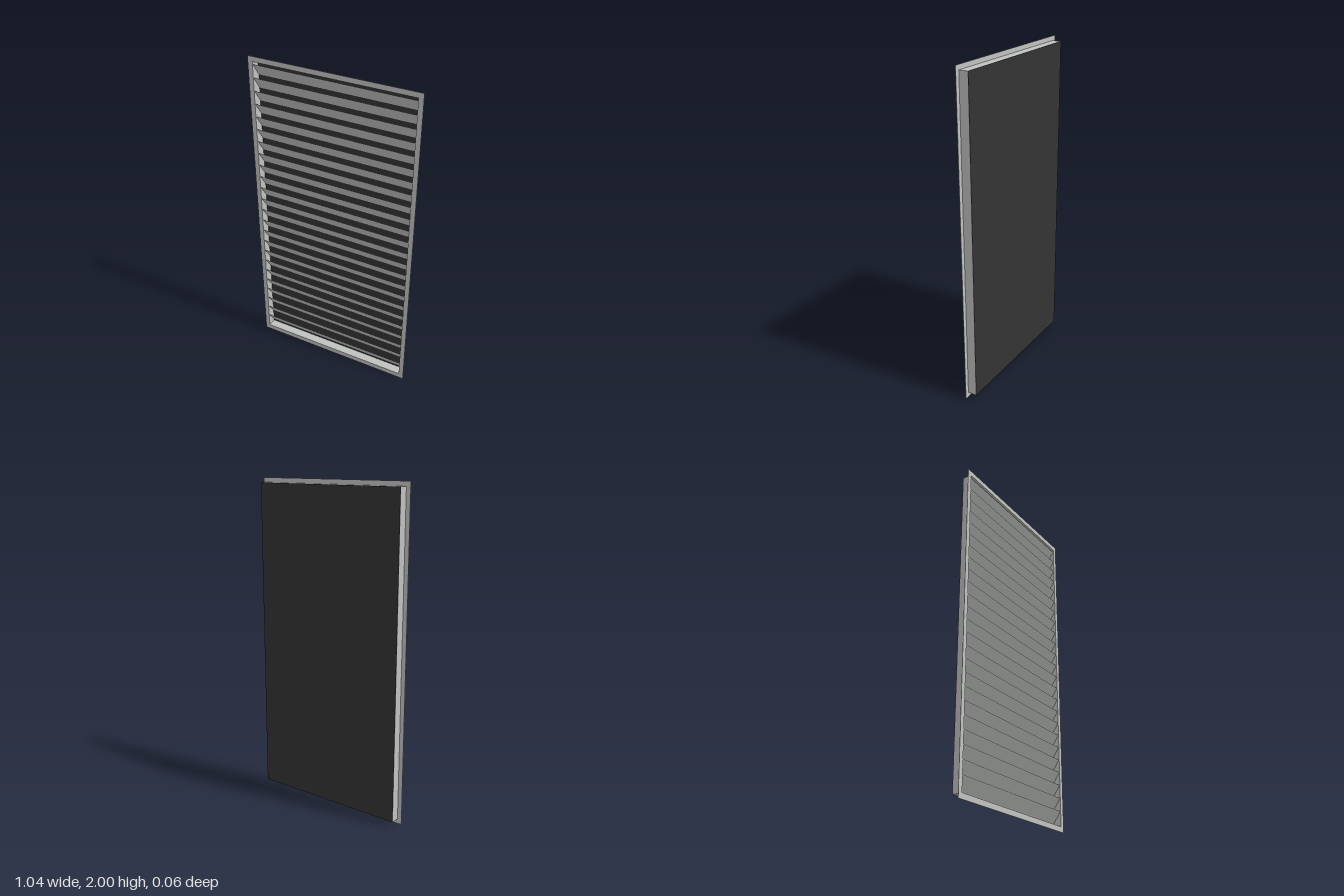
import * as THREE from 'three';

const W = 0.522, H = 2;                          // flange half-width and height
const BODY_W = 0.495, BODY_Y0 = 0.03, BODY_Y1 = 1.972;
const FRONT = 0.029, BACK = -0.029;
const SLATS = 24, PITCH = 0.0795;

function rect(target, hw, y0, y1) {
  target.moveTo(-hw, y0);
  target.lineTo(hw, y0);
  target.lineTo(hw, y1);
  target.lineTo(-hw, y1);
  target.closePath();
  return target;
}

// Rectangular ring extruded from z0 to z1
function ring(outer, inner, z0, z1) {
  const shape = rect(new THREE.Shape(), ...outer);
  shape.holes.push(rect(new THREE.Path(), ...inner));
  const geo = new THREE.ExtrudeGeometry(shape, { depth: z1 - z0, bevelEnabled: false });
  return geo.translate(0, 0, z0);
}

export function createModel() {
  const model = new THREE.Group();
  model.name = 'louverVent';

  const metal = new THREE.MeshStandardMaterial({ color: 0xc0c2c0 });
  metal.name = 'light grey metal';
  const dark = new THREE.MeshStandardMaterial({ color: 0x333333 });
  dark.name = 'dark backing';

  const add = (name, geo, mat, parent = model) => {
    const mesh = new THREE.Mesh(geo, mat);
    mesh.name = name;
    parent.add(mesh);
    return mesh;
  };

  const opening = [BODY_W - 0.003, BODY_Y0 + 0.003, BODY_Y1 - 0.003];

  // Thin flange around the front opening
  add('frontFlange', ring([W, 0, H], opening, FRONT - 0.002, FRONT), metal);

  // Shallow housing behind the flange
  add('housing', ring([BODY_W, BODY_Y0, BODY_Y1], opening, BACK + 0.001, FRONT - 0.002), metal);

  // Closed back
  const back = new THREE.BoxGeometry(BODY_W * 2, BODY_Y1 - BODY_Y0, 0.002);
  back.translate(0, (BODY_Y0 + BODY_Y1) / 2, BACK + 0.001);
  add('backPanel', back, dark);

  // Slats rise towards the front; profile drawn in (z, y), then turned to run along x
  const profile = new THREE.Shape([
    new THREE.Vector2(0.026, 0.075),
    new THREE.Vector2(0.026, 0.078),
    new THREE.Vector2(-0.026, 0.003),
    new THREE.Vector2(-0.026, 0),
  ]);
  const length = (BODY_W - 0.004) * 2;
  const slatGeo = new THREE.ExtrudeGeometry(profile, { depth: length, bevelEnabled: false });
  slatGeo.translate(0, 0, -length / 2).rotateY(-Math.PI / 2);

  const slats = new THREE.Group();
  slats.name = 'slats';
  model.add(slats);
  for (let i = 0; i < SLATS; i++) {
    add('slat', slatGeo, metal, slats).position.y = 0.047 + i * PITCH;
  }
  return model;
}
